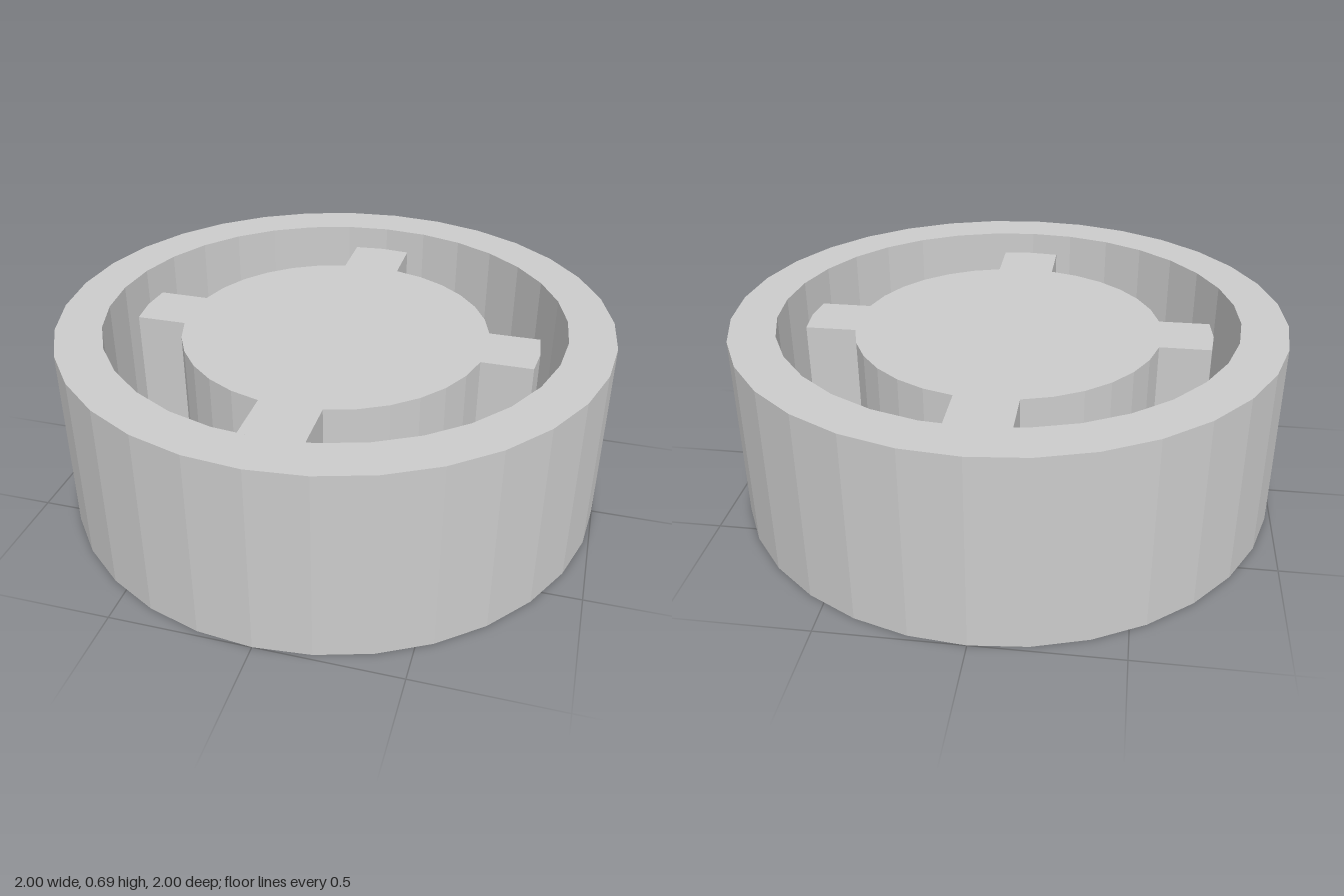
import * as THREE from 'three';

const SIDES = 32;
const material = new THREE.MeshStandardMaterial({ color: 0xcccccc, flatShading: true });

// Points of a regular polygon with a corner on +x
function circlePoints(radius) {
  return Array.from({ length: SIDES }, (_, i) => {
    const a = (i / SIDES) * Math.PI * 2;
    return new THREE.Vector2(radius * Math.cos(a), radius * Math.sin(a));
  });
}

// Upright prism from a plan outline, between two heights
function prism(name, shape, bottom, top) {
  const geometry = new THREE.ExtrudeGeometry(shape, { depth: top - bottom, bevelEnabled: false });
  geometry.rotateX(-Math.PI / 2);
  geometry.translate(0, bottom, 0);
  const mesh = new THREE.Mesh(geometry, material);
  mesh.name = name;
  return mesh;
}

// Round core with four lugs; the side lugs are slightly shorter
function coreShape() {
  const radius = 0.56, halfWidth = 0.11, reach = [0.744, 0.757];
  const step = (Math.PI * 2) / SIDES;
  const drop = halfWidth * Math.tan(step / 2);
  const points = [];
  for (let q = 0; q < 4; q++) {
    const turn = (q * Math.PI) / 2;
    const add = (x, y) => points.push(new THREE.Vector2(x, y).rotateAround(new THREE.Vector2(), turn));
    const r = reach[q % 2];
    // lug end
    add(r - drop, -halfWidth);
    add(r, 0);
    add(r - drop, halfWidth);
    // arc of the core up to the next lug
    for (let i = 1; i < SIDES / 4; i++) add(radius * Math.cos(i * step), radius * Math.sin(i * step));
  }
  return new THREE.Shape(points);
}

export function createModel() {
  const group = new THREE.Group();
  group.name = 'ringWithLuggedCore';

  // Outer ring
  const ring = new THREE.Shape(circlePoints(1));
  ring.holes.push(new THREE.Path(circlePoints(0.835)));
  group.add(prism('outerRing', ring, 0, 0.695));

  // Core, set in a little from both faces of the ring
  group.add(prism('luggedCore', coreShape(), 0.058, 0.637));
  return group;
}
